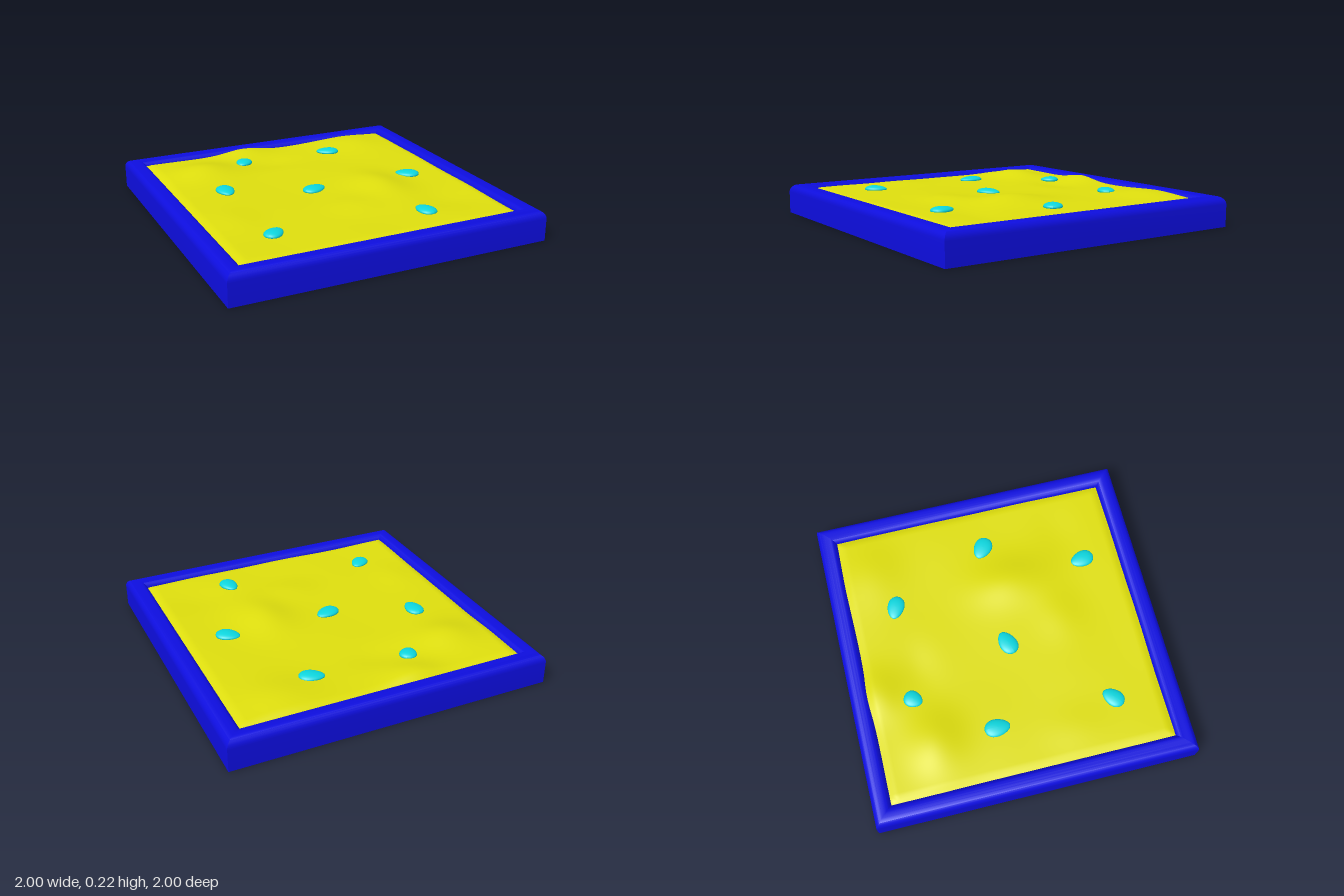
import * as THREE from 'three';
import { toCreasedNormals } from 'three/addons/utils/BufferGeometryUtils.js';

const material = (color) => new THREE.MeshStandardMaterial({ color });

// Gentle mounds: x, z, height, radius x, radius z
const mounds = [
  [-0.58, -0.55, 0.05, 0.2, 0.17],
  [-0.2, -0.82, 0.03, 0.16, 0.12],
  [0.34, 0.15, 0.042, 0.16, 0.24],
  [0.6, -0.7, 0.025, 0.22, 0.18],
  [0.05, 0.4, 0.02, 0.18, 0.15],
  [-0.7, 0.3, 0.015, 0.15, 0.2],
  [-0.1, -0.55, -0.015, 0.18, 0.12],
  [0.6, 0.55, -0.012, 0.2, 0.15],
];

function sandHeight(x, z) {
  let y = 0.171 + 0.004 * Math.sin(7 * x + 2 * z) * Math.cos(6 * z - 2 * x);
  for (const [mx, mz, h, rx, rz] of mounds) {
    y += h * Math.exp(-(((x - mx) / rx) ** 2) - ((z - mz) / rz) ** 2);
  }
  return y;
}

// Square tray: a rounded rim section swept round four sides, with a floor
function makeTray() {
  const section = [[0, 0], [1, 0]];
  const arc = (cx, from, to) => {
    for (let i = 0; i <= 6; i++) {
      const a = from + ((to - from) * i) / 6;
      section.push([cx + 0.05 * Math.cos(a), 0.14 + 0.05 * Math.sin(a)]);
    }
  };
  arc(0.95, 0, Math.PI / 2);
  arc(0.93, Math.PI / 2, Math.PI);
  section.push([0.88, 0.06], [0, 0.06]);
  const points = section.map(([r, y]) => new THREE.Vector2(r * Math.SQRT2, y));
  const geometry = new THREE.LatheGeometry(points, 4, Math.PI / 4);
  const tray = new THREE.Mesh(toCreasedNormals(geometry, 0.6), material(0x0d0ddd));
  tray.name = 'tray';
  return tray;
}

// Rippled sand sheet, tucked into the inner curve of the rim
function makeSand() {
  const geometry = new THREE.PlaneGeometry(1.81, 1.81, 90, 90).rotateX(-Math.PI / 2);
  const p = geometry.attributes.position;
  for (let i = 0; i < p.count; i++) {
    const x = p.getX(i), z = p.getZ(i);
    const edge = Math.max(Math.abs(x), Math.abs(z));
    const drop = 0.02 * THREE.MathUtils.smoothstep(edge, 0.84, 0.905);
    p.setY(i, sandHeight(x, z) - drop);
  }
  geometry.computeVertexNormals();
  const mat = material(0xdddd0d);
  mat.side = THREE.DoubleSide;
  const sand = new THREE.Mesh(geometry, mat);
  sand.name = 'sand';
  return sand;
}

// Egg-shaped pebble with its narrow end along local +x
function makePebble(x, z, length, width, angle) {
  const geometry = new THREE.SphereGeometry(1, 24, 16);
  const p = geometry.attributes.position;
  for (let i = 0; i < p.count; i++) {
    const px = p.getX(i), taper = 1 - 0.18 * px;
    p.setXYZ(i, px * length, p.getY(i) * 0.022 * taper, p.getZ(i) * width * taper);
  }
  geometry.computeVertexNormals();
  const pebble = new THREE.Mesh(geometry, material(0x0dd5dd));
  pebble.position.set(x, sandHeight(x, z) + 0.004, z);
  pebble.rotation.y = angle;
  pebble.name = 'pebble';
  return pebble;
}

export function createModel() {
  const model = new THREE.Group();
  model.name = 'sandTray';
  model.add(makeTray(), makeSand());

  // x, z, half length, half width, turn
  const pebbles = [
    [-0.28, -0.62, 0.06, 0.052, -2.2],
    [0.34, -0.6, 0.077, 0.053, 2.75],
    [-0.58, -0.16, 0.08, 0.055, -1.57],
    [-0.06, 0.035, 0.08, 0.056, 0.35],
    [0.615, 0.035, 0.077, 0.057, 2.5],
    [-0.565, 0.58, 0.073, 0.053, 0.75],
    [0.385, 0.645, 0.076, 0.054, 1.75],
  ];
  for (const pebble of pebbles) model.add(makePebble(...pebble));
  return model;
}
